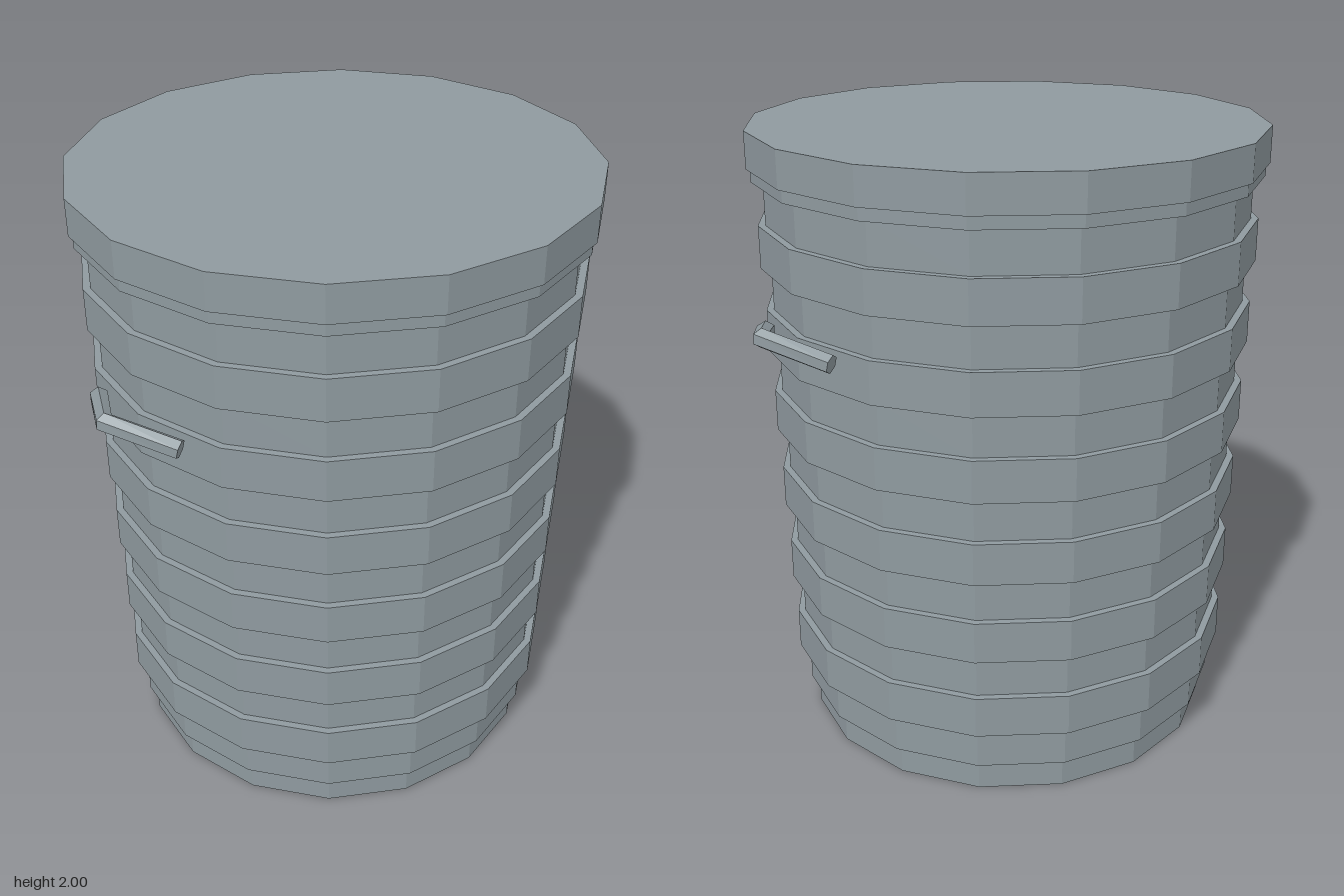
import * as THREE from 'three';

const SIDES = 16;

// Stepped, faceted turned shape: each band is [radius, bottom y, top y]
function steppedLathe(bands, startRadius, closeTop, material, name) {
  const pts = [new THREE.Vector2(startRadius, bands[0][1])];
  for (const [r, y0, y1] of bands) {
    pts.push(new THREE.Vector2(r, y0), new THREE.Vector2(r, y1));
  }
  if (closeTop) pts.push(new THREE.Vector2(0, bands[bands.length - 1][2]));
  const mesh = new THREE.Mesh(new THREE.LatheGeometry(pts, SIDES), material);
  mesh.name = name;
  return mesh;
}

// Bent six-sided bar with capped ends, standing off the wall
function handle(side, material, name) {
  const apex = new THREE.Vector3(side * 0.893, 1.465, 0);
  const front = new THREE.Vector3(side * 0.778, 1.414, 0.195);
  const back = new THREE.Vector3(side * 0.778, 1.414, -0.195);
  const path = new THREE.CurvePath();
  path.add(new THREE.LineCurve3(front, apex));
  path.add(new THREE.LineCurve3(apex, back));
  const n = 6;
  const geo = new THREE.TubeGeometry(path, 2, 0.03, n, false);
  const index = Array.from(geo.index.array);
  const last = 2 * (n + 1);
  for (let j = 1; j < n - 1; j++) {
    index.push(0, j, j + 1, last, last + j + 1, last + j);
  }
  geo.setIndex(index);
  const mesh = new THREE.Mesh(geo, material);
  mesh.name = name;
  return mesh;
}

export function createModel() {
  const model = new THREE.Group();
  model.name = 'ribbedBin';
  const metal = new THREE.MeshStandardMaterial({ color: 0x8f9a9f });
  metal.name = 'greyMetal';
  metal.flatShading = true;

  // Base steps, then alternating ribs and grooves widening upwards
  const bands = [[0.68, 0, 0.1], [0.706, 0.1, 0.232]];
  const step = (1.845 - 0.232) / 12;
  for (let i = 0; i < 12; i++) {
    const rib = i % 2 === 0;
    const r = (rib ? 0.739 : 0.716) + Math.floor(i / 2) * 0.0097;
    bands.push([r, 0.232 + i * step, 0.232 + (i + 1) * step]);
  }
  model.add(steppedLathe(bands, 0, false, metal, 'ribbedBody'));

  // Flat lid with a narrow lower lip
  const lid = [[0.8, 1.845, 1.885], [0.812, 1.885, 2]];
  model.add(steppedLathe(lid, 0.76, true, metal, 'lid'));

  model.add(handle(1, metal, 'leftHandle'));
  model.add(handle(-1, metal, 'rightHandle'));
  return model;
}
